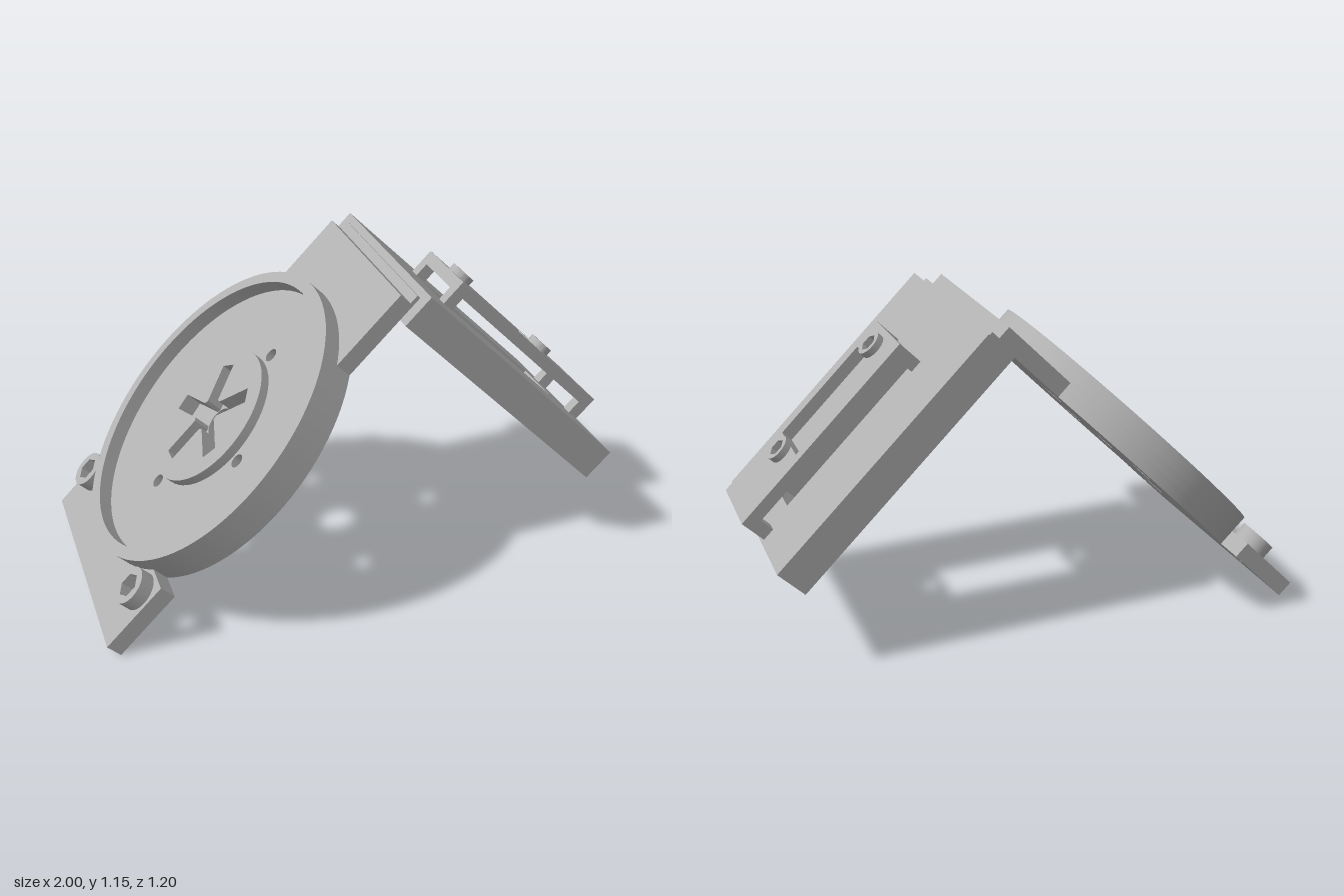
import * as THREE from 'three';
import { toCreasedNormals } from 'three/addons/utils/BufferGeometryUtils.js';

const grey = new THREE.MeshStandardMaterial({ color: 0xb0b0b0 });
grey.name = 'grey plastic';

// Outline helpers, all in a plate's own plane
const rect = (x0, x1, half) => [[x0, -half], [x1, -half], [x1, half], [x0, half]].map(p => new THREE.Vector2(...p));
const round = (x, y, r, n = 32) => Array.from({ length: n }, (_, i) => {
  const a = (i / n) * Math.PI * 2;
  return new THREE.Vector2(x + r * Math.cos(a), y + r * Math.sin(a));
});

// Plate from an outline with holes, lying flat between heights y0 and y1
function plate(name, outline, holes, y0, y1) {
  const shape = new THREE.Shape(outline);
  for (const h of holes) shape.holes.push(new THREE.Path(h));
  const geo = new THREE.ExtrudeGeometry(shape, { depth: y1 - y0, bevelEnabled: false });
  geo.rotateX(-Math.PI / 2).translate(0, y0, 0);
  const mesh = new THREE.Mesh(toCreasedNormals(geo, 0.5), grey);
  mesh.name = name;
  return mesh;
}

// Five-armed pocket outline
function star(cx, hub, reach, half) {
  const pts = [];
  for (let i = 0; i < 5; i++) {
    const a = Math.PI + (i * Math.PI * 2) / 5;
    const inner = Math.sqrt(hub * hub - half * half);
    for (const [r, w] of [[inner, -half], [reach, -half], [reach, half], [inner, half]]) {
      pts.push(new THREE.Vector2(cx + r * Math.cos(a) - w * Math.sin(a), r * Math.sin(a) + w * Math.cos(a)));
    }
  }
  return pts;
}

export function createModel() {
  const model = new THREE.Group();
  model.name = 'bracket';

  // Sloping frame: x runs up the slope, y stands off the dish
  const frame = new THREE.Group();
  frame.name = 'slopedFrame';
  frame.position.set(-0.955, 0, 0);
  frame.rotation.z = Math.PI / 4;
  model.add(frame);

  // Foot with two nut sockets
  const T = 0.064;
  const sides = [-0.4, 0.4];
  frame.add(plate('foot', rect(0, 0.283, 0.485), sides.map(z => round(0.2, z, 0.028)), 0, T));
  for (const z of sides) {
    frame.add(plate('footNutSocket', round(0.2, z, 0.07, 40), [round(0.2, z, 0.045, 6)], T, 0.117));
  }

  // Round dish: floor with stepped screw holes, raised rim and central boss
  const C = 0.755;
  const screwHoles = r => [0, 1, 2, 3].map(i => {
    const a = (i * Math.PI) / 2;
    return round(C + 0.312 * Math.cos(a), 0.312 * Math.sin(a), r, 24);
  });
  const disc = round(C, 0, 0.6, 96);
  const horn = () => star(C, 0.064, 0.205, 0.031);
  frame.add(
    plate('dishBase', disc, [...screwHoles(0.058), round(C, 0, 0.06)], 0, 0.045),
    plate('dishFloor', disc, [...screwHoles(0.026), horn()], 0.045, 0.075),
    plate('dishRim', disc, [round(C, 0, 0.555, 96)], 0.075, 0.131),
    plate('dishBoss', round(C, 0, 0.275, 64), [horn()], 0.075, 0.11),
  );

  // Neck joining the dish to the second arm, with a small lip
  frame.add(
    plate('neck', rect(1.2, 1.556, 0.358), [], 0, T),
    plate('neckLip', rect(1.556, 1.591, 0.358), [], 0, 0.014),
  );

  // Second arm at a right angle: x runs down the arm, y points outwards
  const arm = new THREE.Group();
  arm.name = 'arm';
  arm.rotation.z = -Math.PI / 2;
  frame.add(arm);
  arm.add(plate('armPlate', rect(0, 1.057, 0.408), [rect(0.25, 0.907, 0.11)], 1.491, 1.62));

  // Raised holder on four corner posts, with a window and two nut sockets
  const nuts = [0.295, 0.783];
  arm.add(plate('holderPlate', rect(0.223, 1.043, 0.152),
    [rect(0.336, 0.746, 0.11), ...nuts.map(x => round(x, 0, 0.025, 24))], 1.676, 1.722));
  for (const [x0, x1] of [[0.223, 0.269], [0.995, 1.043]]) {
    for (const side of [-1, 1]) {
      const post = plate('holderPost', rect(x0, x1, 0.021), [], 1.62, 1.676);
      post.position.z = side * 0.131;
      arm.add(post);
    }
  }
  for (const x of nuts) {
    arm.add(plate('holderNutSocket', round(x, 0, 0.048, 40), [round(x, 0, 0.033, 6)], 1.722, 1.748));
  }
  return model;
}
